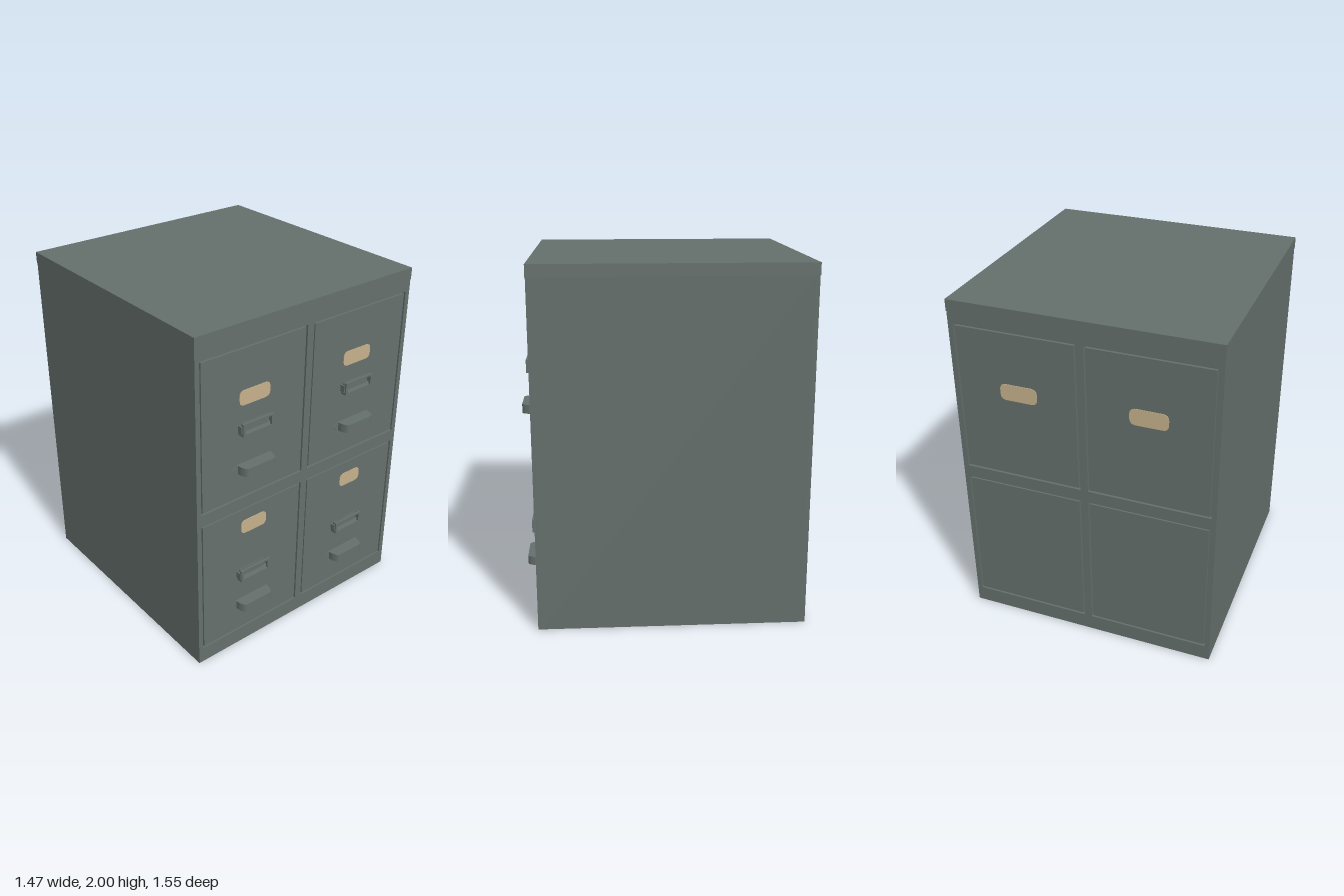
import * as THREE from 'three';

export function createModel() {
  const root = new THREE.Group();
  root.name = 'filingCabinet';
  const steel = new THREE.MeshStandardMaterial({ color: 0x65706c });
  steel.name = 'grey green steel';
  const paper = new THREE.MeshStandardMaterial({ color: 0xc6b18d });
  paper.name = 'tan paper';

  const FRONT = 0.71, BACK = -0.775, W = 0.735, LID = 1.935, GROOVE = 0.02;

  const add = (parent, geo, mat, name, x = 0, y = 0, z = 0) => {
    const mesh = new THREE.Mesh(geo, mat);
    mesh.name = name;
    mesh.position.set(x, y, z);
    parent.add(mesh);
    return mesh;
  };
  // Box given by its limits on each axis
  const block = (parent, name, x0, x1, y0, y1, z0, z1) =>
    add(parent, new THREE.BoxGeometry(x1 - x0, y1 - y0, z1 - z0), steel, name,
      (x0 + x1) / 2, (y0 + y1) / 2, (z0 + z1) / 2);
  const polygon = (pts) => new THREE.Shape(pts.map(([x, y]) => new THREE.Vector2(x, y)));
  const rect = (x0, x1, y0, y1) => polygon([[x0, y0], [x1, y0], [x1, y1], [x0, y1]]);
  const extrude = (shape, depth) =>
    new THREE.ExtrudeGeometry(shape, { depth, bevelEnabled: false, curveSegments: 6 });

  // Cabinet body and lid
  block(root, 'body', -W, W, 0, LID, BACK + GROOVE, FRONT - GROOVE);
  block(root, 'lid', -W - 0.002, W + 0.002, LID, 2, BACK - 0.002, FRONT + 0.002);

  // Drawer openings: x0, x1, y0, y1
  const openings = [];
  for (const [y0, y1] of [[0.995, 1.868], [0.095, 0.922]])
    for (const [x0, x1] of [[-0.707, -0.018], [0.026, 0.706]]) openings.push([x0, x1, y0, y1]);

  // Face frame and drawer panels, on the front and the back
  for (const [side, z] of [['front', FRONT - GROOVE], ['back', BACK]]) {
    const frame = rect(-W, W, 0, LID);
    openings.forEach((o) => frame.holes.push(rect(...o)));
    add(root, extrude(frame, GROOVE), steel, side + 'Frame', 0, 0, z);
    const inset = 0.002, gap = 0.009;
    for (const [x0, x1, y0, y1] of openings)
      block(root, side + 'DrawerPanel', x0 + gap, x1 - gap, y0 + gap, y1 - gap,
        side === 'front' ? z : z + inset, side === 'front' ? z + GROOVE - inset : z + GROOVE);
  }

  // Paper label with rounded corners
  function label(w, h, x, y, z, back) {
    const a = w / 2, b = h / 2, r = h * 0.38;
    const s = new THREE.Shape();
    s.moveTo(-a + r, -b);
    s.lineTo(a - r, -b);
    s.quadraticCurveTo(a, -b, a, -b + r);
    s.lineTo(a, b - r);
    s.quadraticCurveTo(a, b, a - r, b);
    s.lineTo(-a + r, b);
    s.quadraticCurveTo(-a, b, -a, b - r);
    s.lineTo(-a, -b + r);
    s.quadraticCurveTo(-a, -b, -a + r, -b);
    const m = add(root, extrude(s, 0.004), paper, 'paperLabel', x, y, z);
    if (back) m.rotation.y = Math.PI;
  }

  // Card holder: open frame standing off the drawer on a bottom ledge
  function cardHolder(x, y) {
    const g = new THREE.Group();
    g.name = 'cardHolder';
    g.position.set(x, y, FRONT - 0.003);
    const f = rect(-0.102, 0.102, -0.036, 0.036);
    f.holes.push(rect(-0.086, 0.086, -0.024, 0.026));
    add(g, extrude(f, 0.013), steel, 'holderFrame', 0, 0, 0.025);
    block(g, 'holderLedge', -0.102, 0.102, -0.036, -0.026, 0, 0.03);
    block(g, 'holderCard', -0.088, 0.088, -0.026, 0.026, 0, 0.006);
    for (const s of [-1, 1]) block(g, 'holderSideTab', s * 0.104 - 0.004, s * 0.104 + 0.004, -0.02, 0.02, 0, 0.03);
    root.add(g);
  }

  // Pull handle: tapered grip with rounded front corners on a pointed flange
  function handle(x, y) {
    const g = new THREE.Group();
    g.name = 'handle';
    g.position.set(x, y, FRONT - 0.003);
    const s = new THREE.Shape();
    s.moveTo(-0.112, 0);
    s.lineTo(0.112, 0);
    s.lineTo(0.11, -0.03);
    s.quadraticCurveTo(0.1, -0.068, 0.08, -0.068);
    s.lineTo(-0.08, -0.068);
    s.quadraticCurveTo(-0.1, -0.068, -0.11, -0.03);
    const grip = add(g, extrude(s, 0.05), steel, 'grip', 0, -0.025, 0);
    grip.rotation.x = -Math.PI / 2;
    const flange = polygon([[-0.145, 0], [-0.118, -0.025], [0.118, -0.025],
      [0.145, 0], [0.118, 0.025], [-0.118, 0.025]]);
    add(g, extrude(flange, 0.008), steel, 'flange');
    root.add(g);
  }

  // Fittings per drawer column
  for (const x of [-0.362, 0.357]) {
    for (const y of [1.423, 0.497]) cardHolder(x, y);
    for (const y of [1.186, 0.29]) handle(x, y);
    label(0.2, 0.085, x, 1.59, FRONT - 0.003);
    label(0.21, 0.095, x, 1.52, BACK + 0.003, true);
  }
  label(0.175, 0.085, -0.354, 0.8, FRONT - 0.003);
  label(0.155, 0.085, 0.372, 0.8, FRONT - 0.003);

  return root;
}
